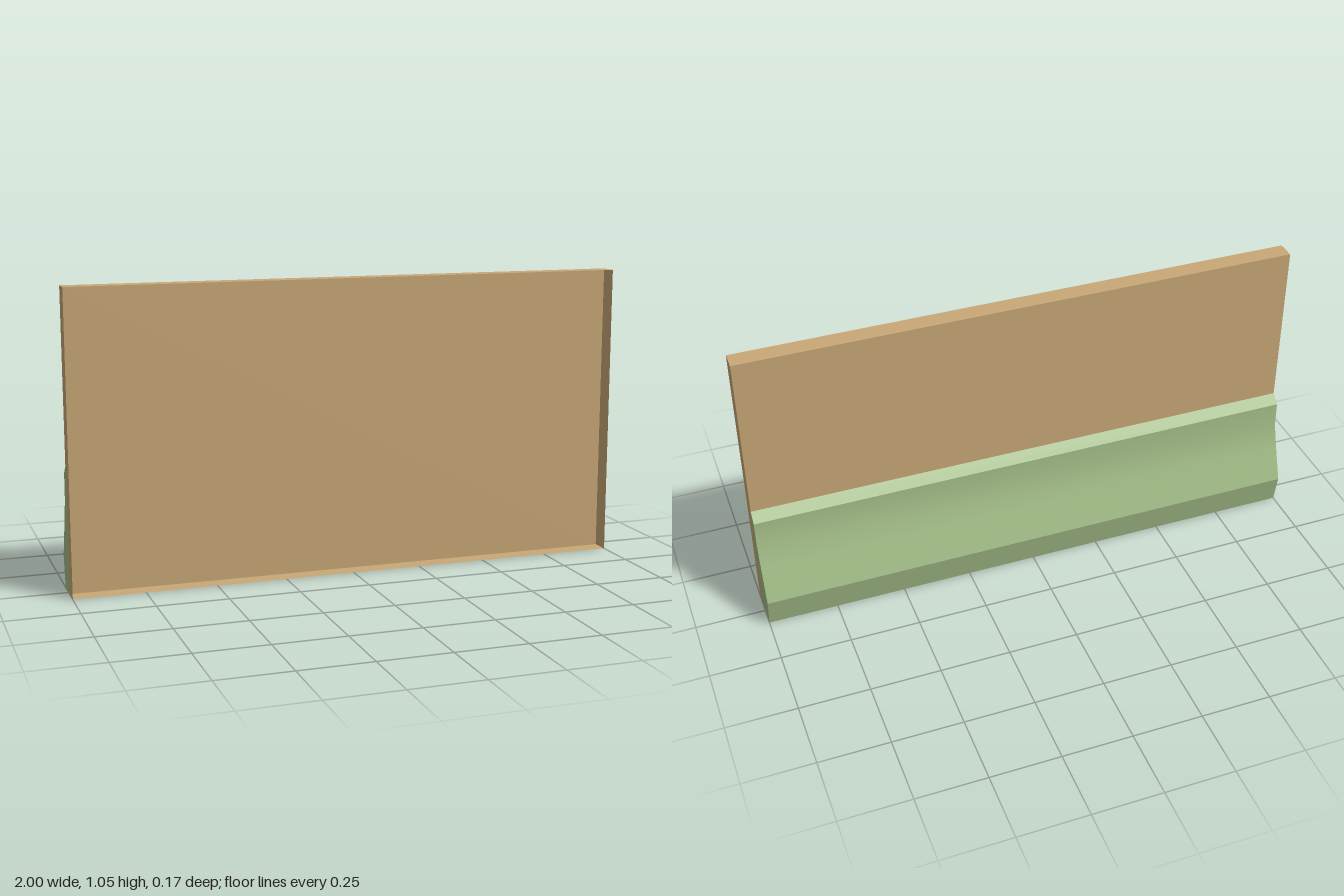
import * as THREE from 'three';

const HALF = 1; // half length along x
const HEIGHT = 1.05;
const FRONT = 0.087;
const BACK = 0.021; // plane of the rear panel

// Skirting profile as [z, y], from top to bottom
const PROFILE = [[BACK, 0.445], [-0.012, 0.415], [-0.015, 0.322], [-0.043, 0.232], [-0.087, 0.11], [-0.066, 0]];

function mesh(name, geometry, material) {
  const m = new THREE.Mesh(geometry, material);
  m.name = name;
  return m;
}

// Sweep part of a profile along x, smooth within the strip
function sweep(points) {
  const positions = points.flatMap(([z, y]) => [-HALF, y, z, HALF, y, z]);
  const index = [];
  for (let i = 0; i < points.length - 1; i++) {
    const a = i * 2;
    index.push(a, a + 1, a + 2, a + 1, a + 3, a + 2);
  }
  const g = new THREE.BufferGeometry();
  g.setAttribute('position', new THREE.Float32BufferAttribute(positions, 3));
  g.setIndex(index);
  g.computeVertexNormals();
  return g;
}

// Flat end of the skirting; side is +1 or -1 along x
function endCap(side) {
  const outline = [...PROFILE, [BACK, 0]].map(([z, y]) => new THREE.Vector2(-side * z, y));
  return new THREE.ShapeGeometry(new THREE.Shape(outline))
    .rotateY(side * Math.PI / 2)
    .translate(side * HALF, 0, 0);
}

export function createModel() {
  const model = new THREE.Group();
  model.name = 'wallWithSkirting';
  const wood = new THREE.MeshStandardMaterial({ color: 0xc8a876, side: THREE.DoubleSide });
  const green = new THREE.MeshStandardMaterial({ color: 0xa3bd88, side: THREE.DoubleSide });

  // Wall: a shallow tray, open at the front (+z face dropped)
  const tray = new THREE.BoxGeometry(HALF * 2, HEIGHT, FRONT - BACK);
  const faces = Array.from(tray.index.array);
  faces.splice(24, 6);
  tray.setIndex(faces);
  tray.clearGroups();
  tray.translate(0, HEIGHT / 2, (FRONT + BACK) / 2);
  model.add(mesh('wallPanel', tray, wood));

  // Skirting along the back, open underneath and against the wall
  const skirting = new THREE.Group();
  skirting.name = 'skirting';
  skirting.add(
    mesh('skirtingTopBevel', sweep(PROFILE.slice(0, 2)), green),
    mesh('skirtingCurve', sweep(PROFILE.slice(1, 5)), green),
    mesh('skirtingLowerFace', sweep(PROFILE.slice(4)), green),
    mesh('skirtingLeftEnd', endCap(1), green),
    mesh('skirtingRightEnd', endCap(-1), green),
  );
  model.add(skirting);
  return model;
}
